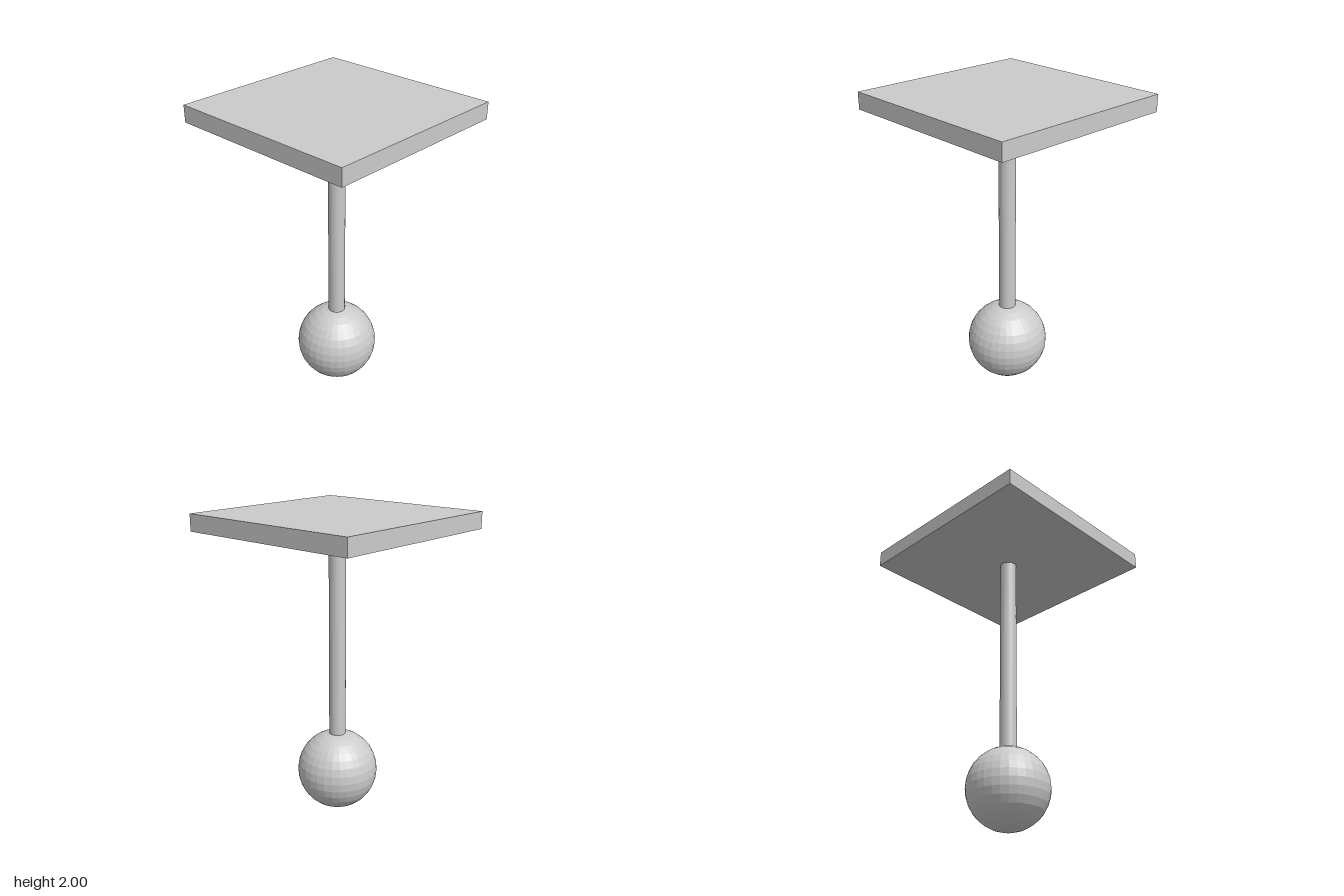
import * as THREE from 'three';

export function createModel() {
  const model = new THREE.Group();
  const smooth = new THREE.MeshStandardMaterial({ color: 0xcccccc });
  const faceted = new THREE.MeshStandardMaterial({ color: 0xcccccc, flatShading: true });

  const add = (name, geometry, y, material) => {
    const mesh = new THREE.Mesh(geometry, material);
    mesh.name = name;
    mesh.position.y = y;
    model.add(mesh);
  };

  // Faceted ball at the foot
  const radius = 0.268;
  add('ball', new THREE.SphereGeometry(radius, 32, 16), radius, faceted);

  // Round rod, sunk slightly into the ball and meeting the plate
  const plateHeight = 0.11;
  const rodBottom = 0.52;
  const rodTop = 2 - plateHeight;
  add('rod', new THREE.CylinderGeometry(0.055, 0.055, rodTop - rodBottom, 32),
    (rodTop + rodBottom) / 2, faceted);

  // Square plate on top
  add('plate', new THREE.BoxGeometry(1.274, plateHeight, 1.274), 2 - plateHeight / 2, smooth);

  return model;
}
